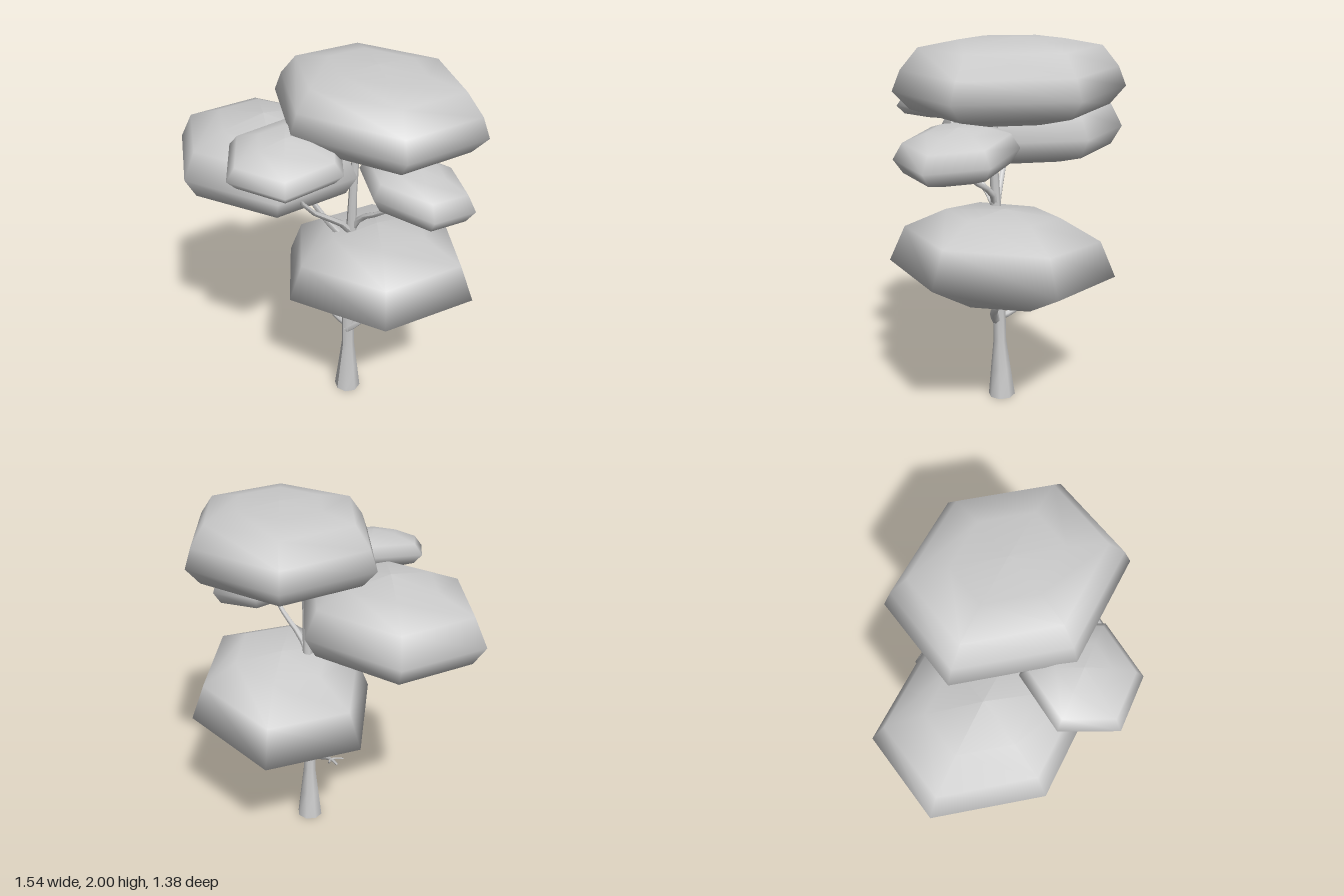
import * as THREE from 'three';

const material = new THREE.MeshStandardMaterial({ color: 0xcccccc });
const vec = (p) => new THREE.Vector3(...p);

function addMesh(group, name, geometry) {
  const mesh = new THREE.Mesh(geometry, material);
  mesh.name = name;
  group.add(mesh);
  return mesh;
}

// Six-sided smooth cushion: a and b are two neighbouring rim corners relative
// to the centre; the profile lists [relative radius, height] from bottom to top.
function foliage([cx, cz], a, b, profile) {
  const geo = new THREE.LatheGeometry(profile.map(([r, y]) => new THREE.Vector2(r, y)), 6);
  const zAxis = vec(a);
  const xAxis = vec(b).addScaledVector(zAxis, -0.5).divideScalar(Math.sqrt(3) / 2);
  const m = new THREE.Matrix4().makeBasis(xAxis, new THREE.Vector3(0, 1, 0), zAxis);
  m.setPosition(cx, 0, cz);
  return geo.applyMatrix4(m);
}

// Tapering limb along a curve; radii are spread evenly along its length.
function limb(points, radii, segments = 6, sides = 8) {
  const curve = new THREE.CatmullRomCurve3(points.map(vec));
  const geo = new THREE.TubeGeometry(curve, segments, 1, sides);
  const pos = geo.attributes.position;
  const p = new THREE.Vector3();
  for (let i = 0; i <= segments; i++) {
    const centre = curve.getPointAt(i / segments);
    const f = (i / segments) * (radii.length - 1);
    const k = Math.min(Math.floor(f), radii.length - 2);
    const r = THREE.MathUtils.lerp(radii[k], radii[k + 1], f - k);
    for (let j = 0; j <= sides; j++) {
      const n = i * (sides + 1) + j;
      p.fromBufferAttribute(pos, n).sub(centre).multiplyScalar(r).add(centre);
      pos.setXYZ(n, p.x, p.y, p.z);
    }
  }
  geo.computeVertexNormals();
  return geo;
}

export function createModel() {
  const tree = new THREE.Group();
  tree.name = 'tree';

  // Trunk with flared foot and closed base
  addMesh(tree, 'trunk', limb(
    [[0.13, 0, -0.04], [0.137, 0.3, -0.035], [0.14, 0.65, -0.03], [0.155, 1.1, -0.03], [0.167, 1.4, -0.03], [0.17, 1.68, -0.05]],
    [0.075, 0.036, 0.034, 0.031, 0.022, 0.018], 10));
  const base = addMesh(tree, 'trunkBase', new THREE.CircleGeometry(0.075, 8));
  base.rotation.x = Math.PI / 2;
  base.position.set(0.13, 0.001, -0.04);

  // Branches
  const branches = {
    leftCanopyBranch: [[[0.15, 1.04, -0.02], [0.09, 1.12, 0.04], [-0.02, 1.3, 0.13], [-0.08, 1.4, 0.18]], [0.02, 0.016, 0.014]],
    frontCanopyBranch: [[[0.155, 1.1, -0.03], [0.16, 1.18, 0.04], [0.175, 1.37, 0.28], [0.17, 1.6, 0.38]], [0.02, 0.014, 0.009]],
    rightCanopyBranch: [[[0.155, 1.12, -0.03], [0.2, 1.2, -0.05], [0.34, 1.29, -0.08], [0.44, 1.4, -0.11]], [0.02, 0.015, 0.012]],
    lowerCanopyBranch: [[[0.14, 0.44, -0.02], [0.205, 0.52, -0.07], [0.235, 0.6, -0.14], [0.26, 0.74, -0.17]], [0.027, 0.019, 0.015]],
    bareBranch: [[[0.14, 0.47, -0.03], [0.04, 0.475, -0.02], [-0.04, 0.515, -0.02], [-0.11, 0.548, -0.02], [-0.185, 0.555, -0.02]], [0.022, 0.017, 0.012, 0.006]],
    twigUp: [[[-0.11, 0.548, -0.02], [-0.13, 0.56, 0.0], [-0.165, 0.57, 0.03]], [0.007, 0.004]],
    twigBack: [[[-0.1, 0.545, -0.02], [-0.13, 0.545, -0.045], [-0.15, 0.57, -0.06]], [0.007, 0.004]],
  };
  for (const [name, [points, radii]] of Object.entries(branches)) {
    addMesh(tree, name, limb(points, radii, 6, 6));
  }

  // Foliage cushions
  addMesh(tree, 'topFoliage', foliage([0.155, -0.175], [0, 0.015, 0.515], [0.533, 0, 0.26],
    [[0, 1.585], [0.42, 1.6], [0.86, 1.66], [1, 1.75], [0.93, 1.85], [0.78, 1.955], [0.45, 1.99], [0, 2]]));
  addMesh(tree, 'leftFoliage', foliage([-0.285, 0.215], [0, 0, 0.48], [0.49, 0, 0.24],
    [[0, 1.295], [0.51, 1.297], [0.88, 1.345], [1, 1.45], [0.86, 1.59], [0.5, 1.66], [0, 1.695]]));
  addMesh(tree, 'frontFoliage', foliage([0.165, 0.38], [-0.02, -0.03, 0.31], [0.245, -0.05, 0.165],
    [[0, 1.55], [0.4, 1.56], [0.85, 1.605], [1, 1.655], [0.85, 1.71], [0.45, 1.752], [0, 1.765]]));
  addMesh(tree, 'rightFoliage', foliage([0.485, -0.17], [0, 0.03, 0.27], [0.28, -0.015, 0.135],
    [[0, 1.335], [0.45, 1.345], [0.85, 1.39], [1, 1.46], [0.85, 1.535], [0.48, 1.573], [0, 1.585]]));
  addMesh(tree, 'lowerFoliage', foliage([0.205, -0.165], [-0.07, 0, 0.525], [0.49, 0.06, 0.335],
    [[0, 0.635], [0.5, 0.66], [1, 0.81], [0.86, 1.0], [0.5, 1.11], [0, 1.135]]));

  return tree;
}
